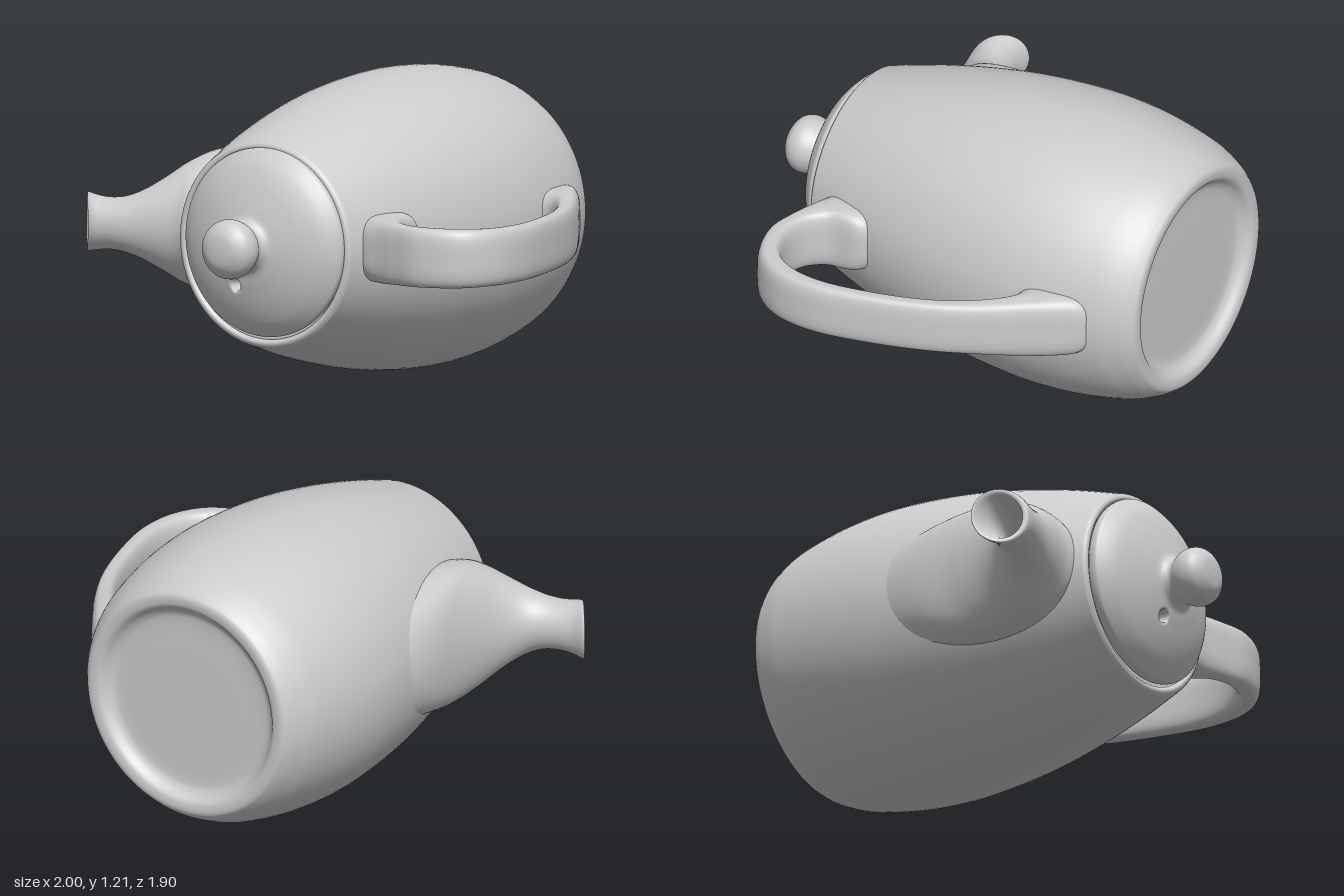
import * as THREE from 'three';

const material = new THREE.MeshStandardMaterial({ color: 0xcccccc, side: THREE.DoubleSide });

// Solid of revolution about the z axis; profile points are [radius, z]
function turned(profile, samples, segments) {
  const curve = new THREE.SplineCurve(profile.map(([r, z]) => new THREE.Vector2(r, z)));
  const points = curve.getPoints(samples);
  points.forEach(p => { p.x = Math.max(p.x, 0); });
  return new THREE.LatheGeometry(points, segments).rotateX(Math.PI / 2);
}

// Loft through rounded sections. Each station is [x1, z1, x2, z2, halfHeight]:
// the two ends of the section in the horizontal plane and its half height in y.
function loft(stations, rows, power) {
  const sides = 48;
  const a = new THREE.CatmullRomCurve3(stations.map(s => new THREE.Vector3(s[0], s[4], s[1])));
  const b = new THREE.CatmullRomCurve3(stations.map(s => new THREE.Vector3(s[2], s[4], s[3])));
  const round = v => Math.sign(v) * Math.pow(Math.abs(v), power);
  const positions = [], index = [];
  for (let i = 0; i <= rows; i++) {
    const p = a.getPoint(i / rows), q = b.getPoint(i / rows);
    for (let j = 0; j < sides; j++) {
      const angle = (j / sides) * Math.PI * 2;
      const k = (1 + round(Math.cos(angle))) / 2;
      positions.push(p.x + (q.x - p.x) * k, (p.y + q.y) / 2 * round(Math.sin(angle)), p.z + (q.z - p.z) * k);
      if (i < rows) {
        const n = (j + 1) % sides, r0 = i * sides, r1 = r0 + sides;
        index.push(r0 + j, r0 + n, r1 + j, r0 + n, r1 + n, r1 + j);
      }
    }
  }
  const geometry = new THREE.BufferGeometry();
  geometry.setAttribute('position', new THREE.Float32BufferAttribute(positions, 3));
  geometry.setIndex(index);
  geometry.computeVertexNormals();
  return geometry;
}

export function createModel() {
  const group = new THREE.Group();
  const add = (name, geometry, x, y) => {
    const mesh = new THREE.Mesh(geometry, material);
    mesh.name = name;
    mesh.position.set(x, y, 0);
    group.add(mesh);
  };

  // Pot body lying on its side, with a recessed foot and a rim for the lid
  add('body', turned([
    [0, -0.9], [0.2, -0.9], [0.34, -0.9], [0.385, -0.912], [0.415, -0.942], [0.437, -0.95],
    [0.462, -0.949], [0.48, -0.935], [0.51, -0.89], [0.55, -0.79], [0.588, -0.6], [0.603, -0.4],
    [0.595, -0.2], [0.572, 0], [0.533, 0.2], [0.482, 0.4], [0.425, 0.58], [0.412, 0.61],
    [0.395, 0.618], [0.38, 0.607], [0.36, 0.59], [0, 0.59],
  ], 170, 96), -0.02, 0.604);

  // Domed lid with a round knob
  const lid = turned([
    [0.36, 0.59], [0.375, 0.602], [0.38, 0.628], [0.368, 0.648], [0.32, 0.688], [0.25, 0.722],
    [0.17, 0.748], [0.12, 0.762], [0.1, 0.78], [0.095, 0.8], [0.112, 0.832], [0.12, 0.87],
    [0.108, 0.91], [0.07, 0.94], [0.03, 0.949], [0, 0.95],
  ], 140, 160);
  // Small steam hole pressed into the lid
  const pos = lid.attributes.position;
  for (let i = 0; i < pos.count; i++) {
    const d = Math.hypot(pos.getX(i) + 0.06, pos.getY(i) + 0.16);
    if (d < 0.027) pos.setZ(i, pos.getZ(i) - 0.06 * Math.min(1, (0.027 - d) / 0.01));
  }
  lid.computeVertexNormals();
  add('lid', lid, -0.01, 0.617);

  // Spout: wide flare out of the body, narrow neck, slanted lip, then the hollow inside
  add('spout', loft([
    [-0.56, -0.5, -0.25, 0.5, 0.29],
    [-0.632, -0.12, -0.41, 0.57, 0.285],
    [-0.642, 0.1, -0.5, 0.567, 0.25],
    [-0.67, 0.27, -0.6, 0.584, 0.185],
    [-0.715, 0.37, -0.68, 0.6, 0.138],
    [-0.77, 0.42, -0.75, 0.618, 0.112],
    [-0.85, 0.45, -0.81, 0.632, 0.105],
    [-0.93, 0.46, -0.838, 0.637, 0.112],
    [-0.99, 0.45, -0.858, 0.637, 0.118],
    [-0.998, 0.452, -0.866, 0.632, 0.115],
    [-0.982, 0.465, -0.872, 0.615, 0.098],
    [-0.91, 0.485, -0.835, 0.608, 0.085],
    [-0.8, 0.465, -0.77, 0.58, 0.075],
    [-0.68, 0.42, -0.66, 0.5, 0.05],
    [-0.6, 0.42, -0.6, 0.42, 0],
  ], 112, 1), 0, 0.62);

  // Broad strap handle, flared where it joins the body
  add('handle', loft([
    [0.47, -0.44, 0.42, -0.79, 0.13],
    [0.575, -0.465, 0.53, -0.775, 0.135],
    [0.62, -0.455, 0.595, -0.705, 0.132],
    [0.67, -0.415, 0.69, -0.565, 0.125],
    [0.73, -0.33, 0.78, -0.42, 0.117],
    [0.8, -0.2, 0.87, -0.24, 0.113],
    [0.87, 0.01, 0.95, 0, 0.112],
    [0.91, 0.24, 0.998, 0.25, 0.113],
    [0.885, 0.39, 0.975, 0.43, 0.115],
    [0.82, 0.48, 0.885, 0.555, 0.118],
    [0.7, 0.523, 0.71, 0.615, 0.12],
    [0.6, 0.502, 0.58, 0.592, 0.123],
    [0.535, 0.43, 0.49, 0.567, 0.13],
    [0.51, 0.3, 0.415, 0.55, 0.136],
    [0.42, 0.24, 0.34, 0.5, 0.14],
  ], 112, 0.6), 0, 0.608);

  return group;
}
